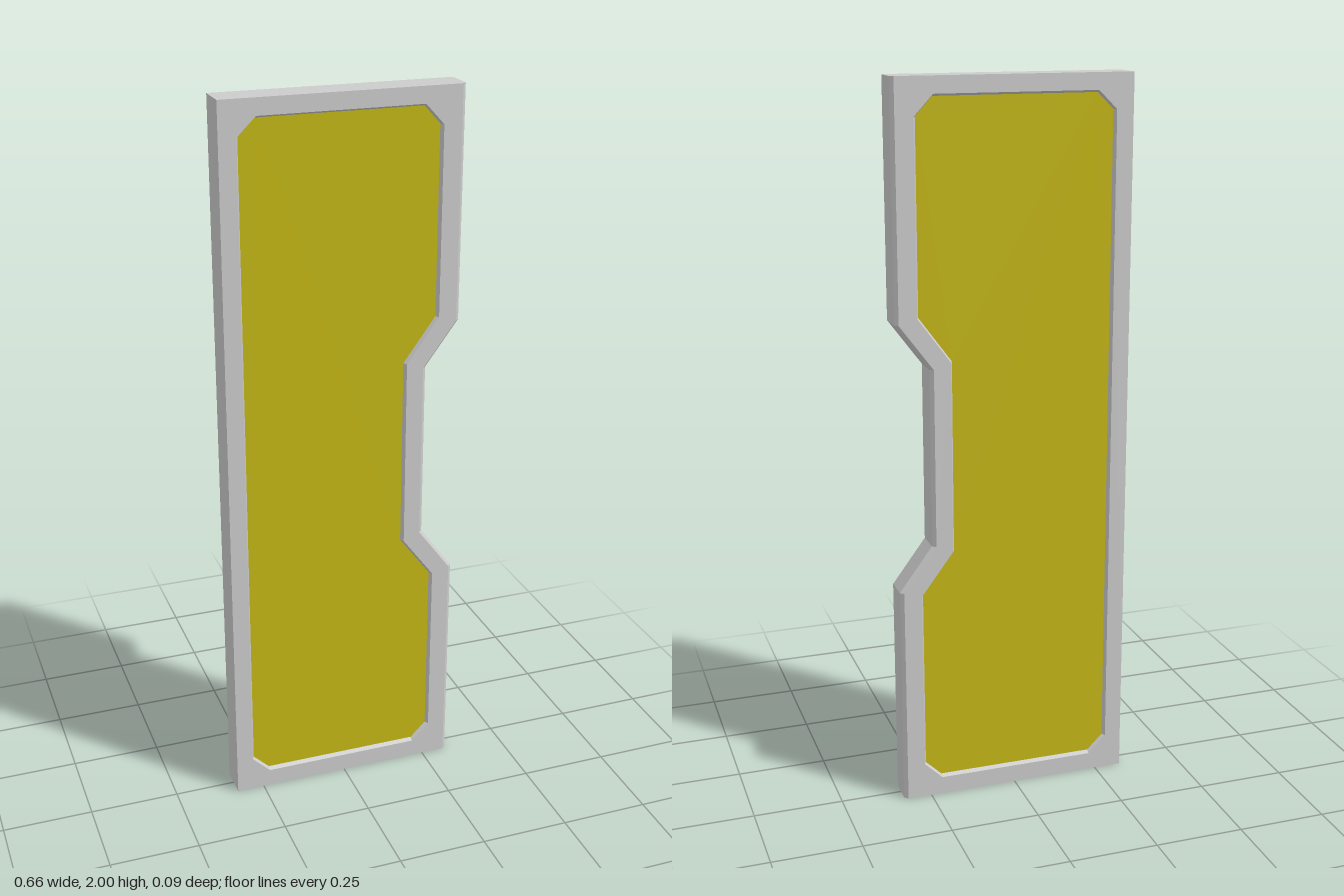
import * as THREE from 'three';
import { mergeGeometries } from 'three/addons/utils/BufferGeometryUtils.js';

const DEPTH = 0.046;   // half thickness
const BEVEL = 0.01;    // bevel along the notched edge
const RECESS = 0.012;  // panel depth below the frame face

const toVec = ([x, y]) => new THREE.Vector2(x, y);

// Counter-clockwise outline; the +x edge carries the notch
const outline = (inset) => [
  [-0.328, 0], [0.328 - inset, 0], [0.328 - inset, 0.625], [0.235 - inset, 0.75],
  [0.235 - inset, 1.245], [0.328 - inset, 1.37], [0.328 - inset, 2], [-0.328, 2],
].map(toVec);

// Panel outline with cut corners, following the notch
const pocket = (d) => [
  [-0.281 + d, 0.1], [-0.23, 0.05 + d], [0.217, 0.05 + d], [0.268 - d, 0.1],
  [0.268 - d, 0.61], [0.178 - d, 0.73], [0.178 - d, 1.262], [0.268 - d, 1.385],
  [0.268 - d, 1.9], [0.217, 1.955 - d], [-0.23, 1.955 - d], [-0.281 + d, 1.905],
].map(toVec);

// Flat-sided band between two matching loops, facing outward when za < zb
function band(a, za, b, zb) {
  const pos = [];
  a.forEach((p, i) => {
    const j = (i + 1) % a.length;
    const A = [p.x, p.y, za], B = [a[j].x, a[j].y, za];
    const C = [b[j].x, b[j].y, zb], D = [b[i].x, b[i].y, zb];
    pos.push(...A, ...B, ...C, ...A, ...C, ...D);
  });
  const g = new THREE.BufferGeometry();
  g.setAttribute('position', new THREE.Float32BufferAttribute(pos, 3));
  g.computeVertexNormals();
  return g;
}

function face(loop, z, hole) {
  const shape = new THREE.Shape(loop);
  if (hole) shape.holes.push(new THREE.Path(hole));
  const g = new THREE.ShapeGeometry(shape).toNonIndexed();
  g.deleteAttribute('uv');
  return g.translate(0, 0, z);
}

// Add a copy reflected to the back, with its corner order reversed
function withBack(front) {
  const back = front.clone().scale(1, 1, -1);
  const p = back.attributes.position;
  const a = new THREE.Vector3(), b = new THREE.Vector3();
  for (let i = 0; i < p.count; i += 3) {
    a.fromBufferAttribute(p, i + 1);
    b.fromBufferAttribute(p, i + 2);
    p.setXYZ(i + 1, b.x, b.y, b.z);
    p.setXYZ(i + 2, a.x, a.y, a.z);
  }
  back.computeVertexNormals();
  return mergeGeometries([front, back]);
}

export function createModel() {
  const group = new THREE.Group();
  const add = (name, geometry, color) => {
    const mesh = new THREE.Mesh(geometry, new THREE.MeshStandardMaterial({ color }));
    mesh.name = name;
    group.add(mesh);
  };

  const outer = outline(0), rim = outline(BEVEL);
  const opening = pocket(0), bed = pocket(0.006);
  const shoulder = DEPTH - BEVEL;

  // Frame: rim face, bevelled side and sloped recess wall on both faces
  add('frame', withBack(mergeGeometries([
    face(rim, DEPTH, opening),
    band(outer, 0, outer, shoulder),
    band(outer, shoulder, rim, DEPTH),
    band(opening, DEPTH, bed, DEPTH - RECESS),
  ])), 0xcccccc);

  // Coloured panels sunk into the front and back
  add('panels', withBack(face(bed, DEPTH - RECESS)), 0xc3b616);

  return group;
}
